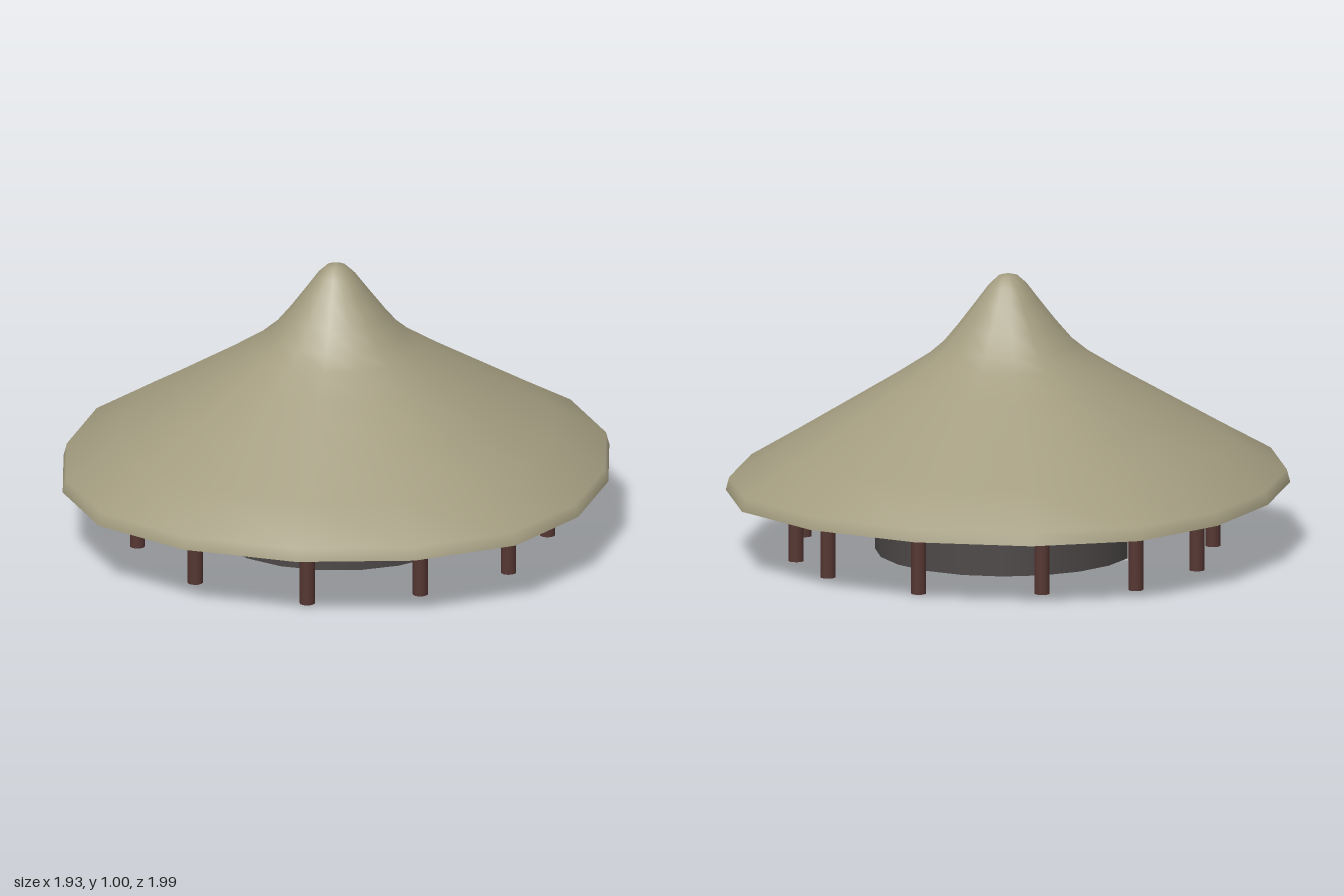
import * as THREE from 'three';
import { mergeVertices } from 'three/addons/utils/BufferGeometryUtils.js';

const paint = (color) => new THREE.MeshStandardMaterial({ color });

// One quarter of the roof outline as [x, z], from the front to the side
const QUARTER = [[0, 0.997], [0.41, 0.925], [0.74, 0.717], [0.915, 0.388], [0.967, 0]];

// Outline point for step k of 16, mirrored into the other quarters
function outline(k) {
  const i = ((k % 16) + 16) % 16;
  const half = i > 8 ? 16 - i : i;
  const [x, z] = QUARTER[half > 4 ? 8 - half : half];
  return [i > 8 ? -x : x, half > 4 ? -z : z];
}

// Sixteen-sided lathe, with each ring stretched to the outline
function roofShell(profile) {
  const points = profile.map(([r, y]) => new THREE.Vector2(r, y));
  const geometry = new THREE.LatheGeometry(points, 16);
  const pos = geometry.attributes.position;
  for (let i = 0; i < pos.count; i++) {
    const r = profile[i % profile.length][0];
    const [x, z] = outline(Math.floor(i / profile.length));
    pos.setX(i, x * r);
    pos.setZ(i, z * r);
  }
  geometry.deleteAttribute('normal');
  geometry.deleteAttribute('uv');
  const merged = mergeVertices(geometry);
  merged.computeVertexNormals();
  return merged;
}

export function createModel() {
  const model = new THREE.Group();
  const add = (name, geometry, material, x = 0, y = 0, z = 0) => {
    const mesh = new THREE.Mesh(geometry, material);
    mesh.name = name;
    mesh.position.set(x, y, z);
    model.add(mesh);
    return mesh;
  };

  // Thatched roof: sweeping cone with a thick eave
  const thatch = paint(0xa39c80);
  add('roof', roofShell([
    [1, 0.235], [0.988, 0.28], [0.8, 0.39], [0.6, 0.51], [0.42, 0.618], [0.3, 0.695],
    [0.24, 0.745], [0.18, 0.815], [0.11, 0.905], [0.07, 0.958], [0.035, 0.99], [0, 1],
  ]), thatch);

  // Shallow ceiling under the eave
  add('ceiling', roofShell([[0, 0.33], [0.46, 0.295], [0.8, 0.255], [1, 0.235]]), thatch);

  // Round wall
  add('wall', new THREE.CylinderGeometry(0.457, 0.457, 0.3, 20), paint(0x4d4848), 0.005, 0.16, -0.015);

  // Door set into the wall on the right side
  add('door', new THREE.BoxGeometry(0.04, 0.2, 0.13), paint(0xcccccc), -0.434, 0.102, 0.045);

  // Ring of veranda posts
  const wood = paint(0x553632);
  const postGeometry = new THREE.CylinderGeometry(0.027, 0.027, 0.27, 12);
  const spots = [
    [0.745, -0.04], [0.665, 0.37], [0.39, 0.64], [0.01, 0.79], [-0.41, 0.63], [-0.665, 0.28],
    [-0.745, -0.12], [-0.65, -0.5], [-0.36, -0.67], [0.05, -0.81], [0.44, -0.66], [0.635, -0.44],
  ];
  for (const [x, z] of spots) add('post', postGeometry, wood, x, 0.145, z);

  return model;
}
